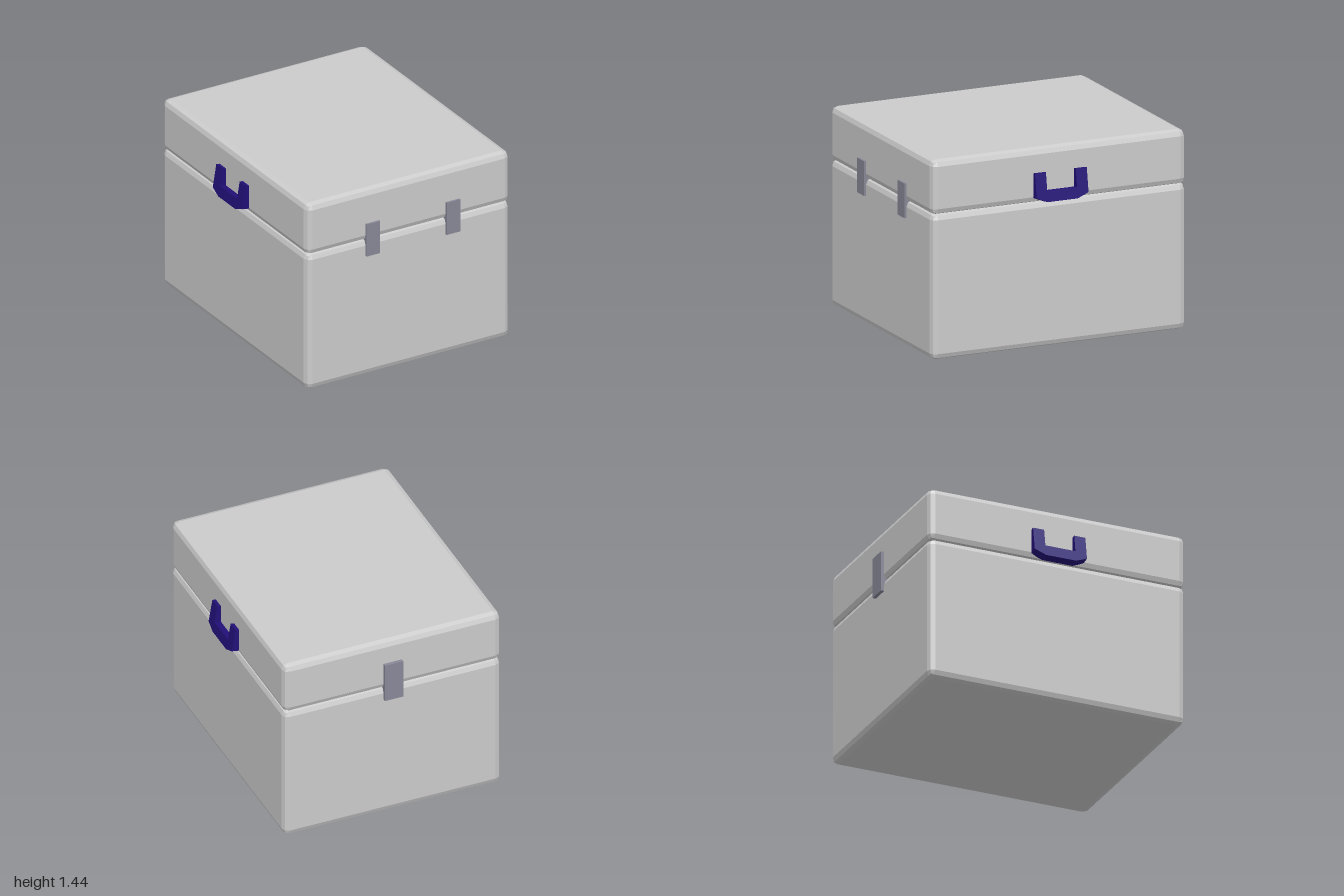
import * as THREE from 'three';
import { RoundedBoxGeometry } from 'three/addons/geometries/RoundedBoxGeometry.js';

const BEVEL = 0.045;
const CENTRE_Z = 0.005;

export function createModel() {
  const model = new THREE.Group();
  model.name = 'chest';

  const shell = new THREE.MeshStandardMaterial({ color: 0xcccccc, flatShading: true });
  const metal = new THREE.MeshStandardMaterial({ color: 0x888898, flatShading: true });
  const grip = new THREE.MeshStandardMaterial({ color: 0x221078, flatShading: true });

  const add = (name, geometry, material, x, y, z) => {
    const mesh = new THREE.Mesh(geometry, material);
    mesh.name = name;
    mesh.position.set(x, y, z);
    model.add(mesh);
    return mesh;
  };

  // Body and lid: boxes with two-step bevels that meet in a V groove
  const bevelledBox = (name, bottom, top) => add(
    name,
    new RoundedBoxGeometry(1.65, top - bottom, 1.96, 1, BEVEL),
    shell, 0, (bottom + top) / 2, CENTRE_Z
  );
  bevelledBox('body', 0, 1.055);
  bevelledBox('lid', 1.045, 1.44);

  // Two front latches and one wider back hinge, sunk slightly into the shell
  const plate = (name, x, y, z, w, h) =>
    add(name, new THREE.BoxGeometry(w, h, 0.06), metal, x, y, z);
  plate('frontLatchRight', -0.295, 1.055, 0.97, 0.11, 0.25);
  plate('frontLatchLeft', 0.355, 1.055, 0.97, 0.11, 0.25);
  plate('backHinge', 0, 1.11, -0.97, 0.14, 0.3);

  // U-shaped side handles with cut lower corners, leaning out at the bottom
  const outline = new THREE.Shape([
    [-0.2, 0.21], [-0.2, 0.035], [-0.115, 0], [0.115, 0], [0.2, 0.035], [0.2, 0.21],
    [0.115, 0.21], [0.115, 0.08], [-0.115, 0.08], [-0.115, 0.21],
  ].map(([x, y]) => new THREE.Vector2(x, y)));
  const thickness = 0.068;
  const handleGeometry = new THREE.ExtrudeGeometry(outline, { depth: thickness, bevelEnabled: false })
    .translate(0, 0, -thickness)
    .rotateY(Math.PI / 2)
    .rotateZ(0.165)
    .translate(0.886, 1.06, 0);
  add('handleLeft', handleGeometry, grip, 0, 0, CENTRE_Z);
  add('handleRight', handleGeometry, grip, 0, 0, CENTRE_Z).rotation.y = Math.PI;

  return model;
}
